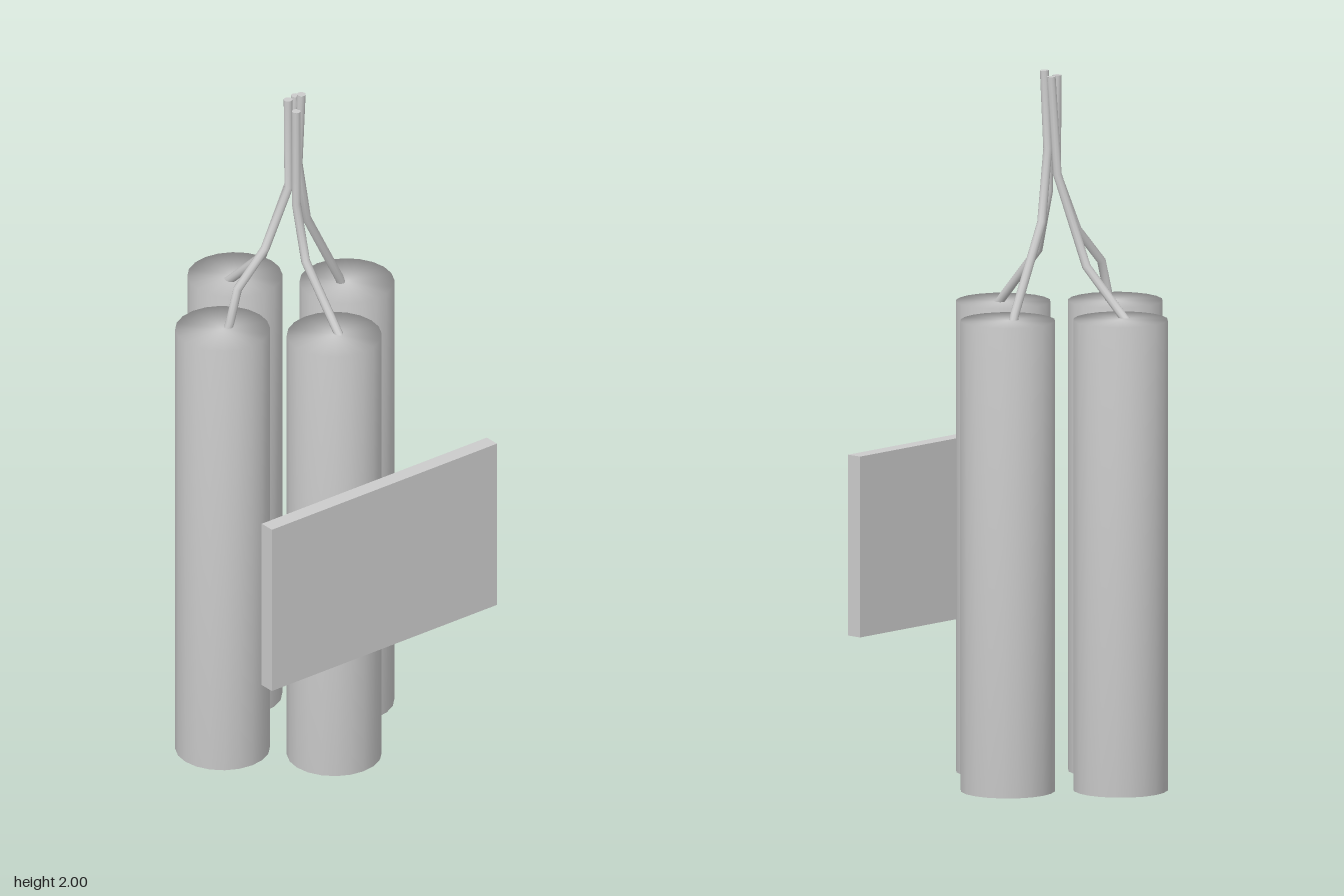
import * as THREE from 'three';
import { mergeVertices } from 'three/addons/utils/BufferGeometryUtils.js';

const STICK_HEIGHT = 1.325, STICK_RADIUS = 0.132, WIRE_RADIUS = 0.0125;

// Straight runs between bends, one tube ring per point
class BentWire extends THREE.Curve {
  constructor(points) {
    super();
    this.points = points.map(p => new THREE.Vector3(...p));
  }
  getUtoTmapping(u) { return u; }
  getPoint(t, target = new THREE.Vector3()) {
    const last = this.points.length - 1;
    const i = Math.min(Math.floor(t * last), last - 1);
    return target.lerpVectors(this.points[i], this.points[i + 1], t * last - i);
  }
}

// Cylinder whose normals are blended across the rims
function softCylinder(radius, height, sides) {
  const geometry = new THREE.CylinderGeometry(radius, radius, height, sides);
  geometry.deleteAttribute('normal');
  geometry.deleteAttribute('uv');
  const merged = mergeVertices(geometry, 1e-4);
  merged.computeVertexNormals();
  return merged;
}

export function createModel() {
  const group = new THREE.Group();
  const material = new THREE.MeshStandardMaterial({ color: 0xcccccc });

  const add = (name, geometry, x = 0, y = 0, z = 0, parent = group) => {
    const mesh = new THREE.Mesh(geometry, material);
    mesh.name = name;
    mesh.position.set(x, y, z);
    parent.add(mesh);
    return mesh;
  };

  // Each stick with the fuse wire that rises from it to the centre
  const sticks = [
    { name: 'back', x: -0.034, z: -0.202, wire: [
      [-0.045, 1.29, -0.2], [-0.04, 1.34, -0.18], [-0.022, 1.58, -0.05],
      [-0.003, 1.78, -0.004], [0.007, 2, -0.007]] },
    { name: 'front', x: -0.034, z: 0.24, wire: [
      [-0.036, 1.29, 0.232], [-0.031, 1.34, 0.215], [-0.023, 1.44, 0.195], [-0.014, 1.54, 0.105],
      [-0.01, 1.71, 0.024], [-0.013, 1.985, 0.024]] },
    { name: 'right', x: -0.256, z: 0.019, wire: [
      [-0.27, 1.3, 0.048], [-0.235, 1.333, 0.046], [-0.11, 1.455, 0.038],
      [-0.03, 1.71, 0.006], [-0.019, 1.985, -0.007]] },
    { name: 'left', x: 0.186, z: 0.019, wire: [
      [0.215, 1.29, 0.004], [0.175, 1.34, 0.006], [0.04, 1.49, 0.004],
      [0.006, 1.66, 0.01], [0.011, 1.955, 0.014]] },
  ];
  const stickGeometry = softCylinder(STICK_RADIUS, STICK_HEIGHT, 20);
  for (const { name, x, z, wire } of sticks) {
    add(name + 'Stick', stickGeometry, x, STICK_HEIGHT / 2, z);

    const fuse = new THREE.Group();
    fuse.name = name + 'Fuse';
    group.add(fuse);
    add(name + 'FuseWire', new THREE.TubeGeometry(new BentWire(wire), wire.length - 1, WIRE_RADIUS, 10), 0, 0, 0, fuse);
    const tip = add(name + 'FuseTip', new THREE.CircleGeometry(WIRE_RADIUS, 10), ...wire.at(-1), fuse);
    tip.rotation.x = -Math.PI / 2;
  }

  // Flat panel standing beside the bundle
  add('sidePanel', new THREE.BoxGeometry(0.045, 0.51, 0.8), 0.363, 0.667, 0);

  return group;
}
